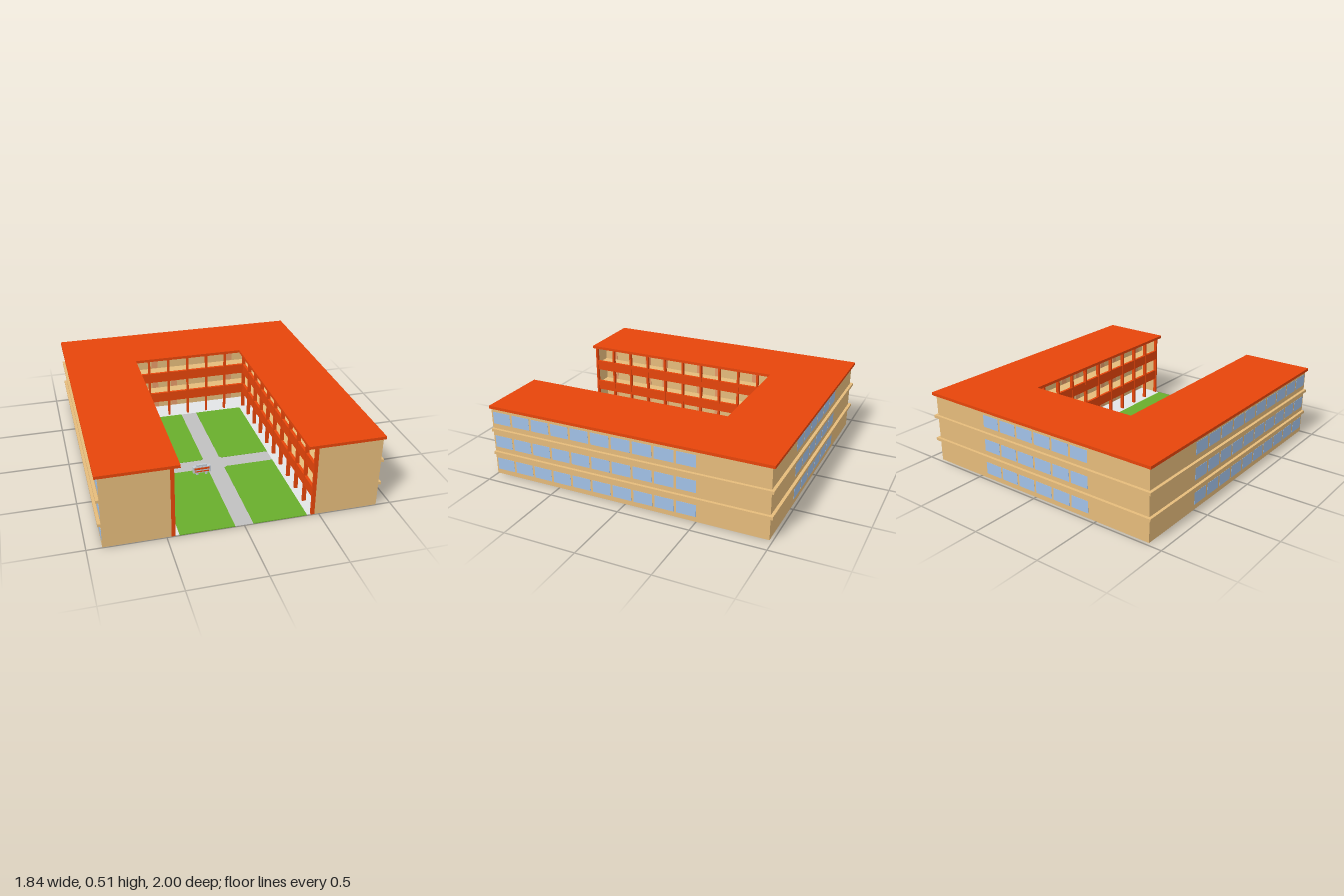
import * as THREE from 'three';

const mat = (name, color) => {
  const m = new THREE.MeshStandardMaterial({ color });
  m.name = name;
  return m;
};

export function createModel() {
  const wall = mat('sand wall', 0xe5bb7b);
  const red = mat('brick red', 0xe6450a);
  const glass = mat('window blue', 0xa2c2e8);
  const grass = mat('grass green', 0x69ae2c);
  const paving = mat('path grey', 0xc0c0c0);
  const walkway = mat('walkway pale grey', 0xe2e4e6);
  const door = mat('door salmon', 0xe59a68);
  const board = mat('sign grey', 0xc2cad2);

  const root = new THREE.Group();
  root.name = 'courtyardBuilding';
  const group = (name) => {
    const g = new THREE.Group();
    g.name = name;
    root.add(g);
    return g;
  };
  // box given by its limits on each axis
  const box = (parent, name, m, x0, x1, y0, y1, z0, z1) => {
    const mesh = new THREE.Mesh(new THREE.BoxGeometry(Math.abs(x1 - x0), y1 - y0, z1 - z0), m);
    mesh.position.set((x0 + x1) / 2, (y0 + y1) / 2, (z0 + z1) / 2);
    mesh.name = name;
    parent.add(mesh);
  };
  // flat slab from a plan outline of [x, z] points
  const slab = (parent, name, m, plan, y0, y1) => {
    const shape = new THREE.Shape(plan.map(([x, z]) => new THREE.Vector2(x, -z)));
    const geo = new THREE.ExtrudeGeometry(shape, { depth: y1 - y0, bevelEnabled: false });
    geo.rotateX(-Math.PI / 2);
    geo.translate(0, y0, 0);
    const mesh = new THREE.Mesh(geo, m);
    mesh.name = name;
    parent.add(mesh);
  };
  const uPlan = (xo, zb, xi, zi, zf = 1) => [
    [-xo, zf], [-xo, zb], [xo, zb], [xo, zf], [xi, zf], [xi, zi], [-xi, zi], [-xi, zf],
  ];

  const base = 0.003, top = 0.495;
  const floors = [0, 0.168, 0.342];

  // roof and floor slabs, whose edges run round the outside as ledges
  slab(root, 'roof', red, uPlan(0.92, -1, 0.405, -0.5), top, 0.515);
  for (const y of [0.156, 0.327]) slab(root, 'floorSlab', wall, uPlan(0.92, -1, 0.469, -0.54, 0.999), y, y + 0.02);

  // outer walls, wing ends and walls behind the galleries
  const walls = group('walls');
  box(walls, 'backWall', wall, -0.9, 0.9, base, top, -0.98, -0.976);
  box(walls, 'galleryBackWall', wall, -0.6, 0.6, base, top, -0.695, -0.69);
  for (const s of [-1, 1]) {
    box(walls, 'sideWall', wall, s * 0.896, s * 0.9, base, top, -0.978, 0.998);
    box(walls, 'wingEndWall', wall, s * 0.47, s * 0.9, base, top, 0.996, 1);
    box(walls, 'gallerySideWall', wall, s * 0.6, s * 0.605, base, top, -0.695, 0.997);
  }

  // outside windows
  const windows = group('outerWindows');
  for (const y of [0.037, 0.207, 0.381]) {
    for (let i = 0; i < 10; i++) {
      const z = 0.922 - i * 0.1505;
      for (const s of [-1, 1]) box(windows, 'sideWindow', glass, s * 0.898, s * 0.901, y, y + 0.085, z - 0.067, z + 0.067);
    }
    for (let i = 0; i < 6; i++) {
      const x = (i - 2.5) * 0.15;
      box(windows, 'backWindow', glass, x - 0.067, x + 0.067, y, y + 0.085, -0.981, -0.978);
    }
  }

  // gallery windows and doors facing the courtyard
  const gallery = group('galleryOpenings');
  floors.forEach((f, level) => {
    const y = f + 0.088;
    for (let i = 0; i < 8; i++) {
      const x = (i - 3.5) * 0.15;
      box(gallery, 'galleryWindow', glass, x - 0.072, x + 0.072, y, y + 0.033, -0.692, -0.687);
    }
    for (const x of level < 2 ? [-0.23, -0.078, 0.375] : [-0.23, 0.375])
      box(gallery, 'galleryDoor', door, x - 0.024, x + 0.024, f + 0.01, y, -0.692, -0.686);
    for (const s of [-1, 1]) {
      for (let i = 0; i < 10; i++) {
        const z = 0.913 - i * 0.154;
        box(gallery, 'wingWindow', glass, s * 0.602, s * 0.597, y, y + 0.033, z - 0.072, z + 0.072);
        if (i % 3 !== 1) box(gallery, 'wingDoor', door, s * 0.602, s * 0.596, f + 0.01, y, z - 0.024, z + 0.024);
      }
    }
  });

  // columns and parapets round the courtyard, with slim ribs on the room side
  const arcade = group('arcade');
  for (const s of [-1, 1]) {
    for (let i = 0; i <= 10; i++) {
      const z = 0.994 - i * 0.1535;
      box(arcade, 'wingColumn', red, s * 0.445, s * 0.47, base, top, z - 0.007, z + 0.007);
      box(arcade, 'wingRib', red, s * 0.604, s * 0.608, base, 0.156, z - 0.014, z - 0.004);
    }
    for (const y of [0.13, 0.302]) box(arcade, 'wingParapet', red, s * 0.448, s * 0.467, y, y + 0.074, -0.55, 0.998);
  }
  for (let i = -2; i <= 2; i++) {
    box(arcade, 'backColumn', red, i * 0.15 - 0.007, i * 0.15 + 0.007, base, top, -0.555, -0.53);
  }
  for (let i = -3; i <= 3; i++) {
    box(arcade, 'backRib', red, i * 0.15 - 0.005, i * 0.15 + 0.005, base, 0.156, -0.698, -0.694);
  }
  for (const y of [0.13, 0.302]) box(arcade, 'backParapet', red, -0.46, 0.46, y, y + 0.074, -0.552, -0.533);

  // pale walkway under the galleries, crossing paths and four lawns cut back at the crossing
  const yard = group('courtyard');
  slab(yard, 'walkway', walkway, uPlan(0.6, -0.69, 0.42, -0.51, 0.996), 0.001, 0.005);
  box(yard, 'paths', paving, -0.42, 0.42, 0.001, 0.004, -0.51, 0.999);
  for (const s of [-1, 1]) {
    for (const [zn, zf] of [[0.31, 1], [0.19, -0.51]]) {
      const c = zn + Math.sign(zf - zn) * 0.016;
      slab(yard, 'lawn', grass, [[s * 0.076, zn], [s * 0.42, zn], [s * 0.42, zf], [s * 0.06, zf], [s * 0.06, c]], 0, 0.006);
    }
  }

  // notice board with plain stripes
  const sign = group('noticeBoard');
  box(sign, 'boardPanel', board, -0.18, -0.055, 0.025, 0.072, 0.352, 0.378);
  box(sign, 'boardCap', board, -0.155, -0.08, 0.072, 0.085, 0.356, 0.374);
  for (const x of [-0.15, -0.085]) box(sign, 'boardLeg', board, x - 0.008, x + 0.008, 0.004, 0.026, 0.356, 0.374);
  for (const [y, h, w] of [[0.051, 0.014, 0.054], [0.032, 0.009, 0.05]])
    box(sign, 'boardStripe', red, -0.1175 - w, -0.1175 + w, y, y + h, 0.377, 0.38);

  return root;
}
